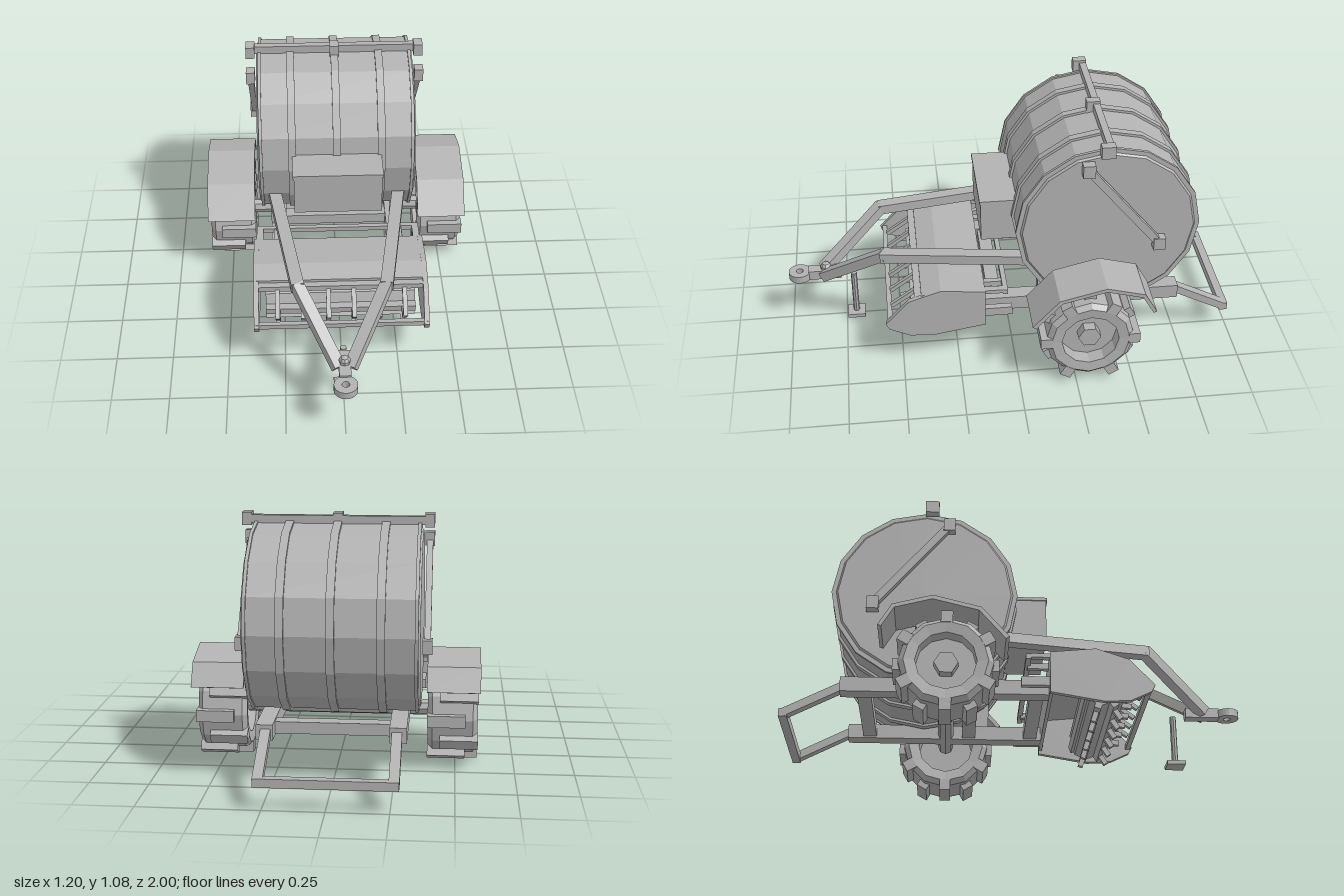
import * as THREE from 'three';

const grey = new THREE.MeshStandardMaterial({ color: 0xb2b2b2, flatShading: true, side: THREE.DoubleSide });
grey.name = 'plain grey';

export function createModel() {
  const root = new THREE.Group();
  root.name = 'roundBaler';

  const add = (name, geo, x = 0, y = 0, z = 0, parent = root) => {
    const m = new THREE.Mesh(geo, grey);
    m.name = name;
    m.position.set(x, y, z);
    parent.add(m);
    return m;
  };
  const box = (name, w, h, d, x, y, z, parent) => add(name, new THREE.BoxGeometry(w, h, d), x, y, z, parent);
  // Cylinder lying along x
  const roll = (name, r, len, sides, x, y, z, parent, r2 = r) =>
    add(name, new THREE.CylinderGeometry(r, r2, len, sides).rotateZ(Math.PI / 2), x, y, z, parent);
  // Rectangular bar between two points
  const beam = (name, a, b, w, h) => {
    const p = new THREE.Vector3(...a), q = new THREE.Vector3(...b);
    const m = box(name, w, h, p.distanceTo(q), 0, 0, 0);
    m.position.copy(p).add(q).multiplyScalar(0.5);
    m.lookAt(q);
    return m;
  };
  // Side profile given as [z, y] points, extruded along x
  const profile = (name, pts, width, x) => {
    const shape = new THREE.Shape(pts.map(([z, y]) => new THREE.Vector2(-z, y)));
    const geo = new THREE.ExtrudeGeometry(shape, { depth: width, bevelEnabled: false });
    geo.translate(0, 0, -width / 2).rotateY(Math.PI / 2);
    return add(name, geo, x, 0, 0);
  };

  // Bale chamber with chamfered ends and raised hoops
  const DY = 0.645, DZ = -0.405;
  const drum = [[0, -0.355], [0.372, -0.355], [0.392, -0.335], [0.392, 0.335], [0.372, 0.355], [0, 0.355]];
  add('baleChamber', new THREE.LatheGeometry(drum.map(p => new THREE.Vector2(...p)), 16).rotateZ(Math.PI / 2), 0, DY, DZ);
  for (const x of [-0.2, 0, 0.2]) roll('chamberHoop', 0.403, 0.034, 16, x, DY, DZ);
  for (const x of [-0.34, 0.34]) roll('chamberRim', 0.4, 0.014, 16, x, DY, DZ);

  // Bar over the chamber
  box('topBar', 0.76, 0.035, 0.03, 0, 1.052, -0.395);
  for (const x of [-0.38, 0, 0.38]) box('topBarBlock', 0.04, 0.055, 0.06, x, 1.053, -0.382);

  // Twine box
  box('twineBox', 0.39, 0.19, 0.19, 0, 0.61, 0.035);
  box('twineBoxLid', 0.4, 0.014, 0.2, 0, 0.71, 0.035);

  for (const s of [-1, 1]) {
    // Tailgate cylinder
    const hi = [s * 0.38, 0.965, -0.305], lo = [s * 0.38, 0.575, -0.625];
    beam('tailgateRam', hi, lo, 0.026, 0.034);
    for (const p of [hi, lo]) box('ramMount', 0.04, 0.058, 0.052, ...p);

    // Drawbar arm
    const bend = [s * 0.188, 0.46, 0.575];
    beam('drawbarArm', [s * 0.295, 0.467, -0.14], bend, 0.055, 0.045);
    beam('drawbarArm', [s * 0.192, 0.466, 0.56], [s * 0.025, 0.25, 0.84], 0.05, 0.045);

    // Chassis rail and rear frame leg
    box('chassisRail', 0.07, 0.065, 0.88, s * 0.27, 0.235, -0.31);
    beam('rearFrameLeg', [s * 0.265, 0.235, -0.74], [s * 0.265, 0.11, -0.98], 0.042, 0.035);
    box('chassisPost', 0.05, 0.26, 0.06, s * 0.28, 0.36, -0.14);

    // Fender
    profile('fender', [[-0.05, 0.33], [-0.165, 0.46], [-0.365, 0.51], [-0.53, 0.465], [-0.585, 0.37],
      [-0.57, 0.365], [-0.52, 0.45], [-0.365, 0.492], [-0.175, 0.445], [-0.065, 0.32]], 0.22, s * 0.49);

    // Wheel with alternating lugs
    const wheel = new THREE.Group();
    wheel.name = 'wheel';
    wheel.position.set(s * 0.487, 0.225, -0.305);
    root.add(wheel);
    const tyre = [[0.125, -0.1], [0.172, -0.105], [0.194, -0.085], [0.194, 0.085], [0.172, 0.105], [0.125, 0.1], [0.125, -0.1]];
    add('tyre', new THREE.LatheGeometry(tyre.map(p => new THREE.Vector2(...p)), 12).rotateZ(Math.PI / 2), 0, 0, 0, wheel);
    roll('rimDisc', 0.128, 0.03, 12, s * 0.02, 0, 0, wheel);
    roll('hub', 0.05, 0.06, 6, s * 0.05, 0, 0, wheel);
    for (let i = 0; i < 12; i++) {
      const a = i * Math.PI / 6;
      const lug = box('lug', 0.16, 0.05, 0.05, (i % 2 ? 1 : -1) * 0.027, Math.cos(a) * 0.192, Math.sin(a) * 0.192, wheel);
      lug.rotation.x = a;
    }

    // Pickup side plate and lift arm
    profile('pickupSide', [[0.57, 0.225], [0.465, 0.34], [0.325, 0.387], [0.13, 0.367], [0.13, 0.185],
      [0.355, 0.147], [0.465, 0.152], [0.555, 0.195]], 0.022, s * 0.37);
    box('pickupArm', 0.03, 0.04, 0.14, s * 0.35, 0.24, 0.08);
    box('pickupHook', 0.03, 0.018, 0.1, s * 0.355, 0.355, 0.1);
    beam('rearPickupBrace', [s * 0.28, 0.34, 0.04], [s * 0.28, 0.34, 0.14], 0.025, 0.025);
  }

  // Cross members
  roll('axle', 0.035, 0.8, 8, 0, 0.225, -0.305);
  for (const z of [0.08, -0.2, -0.65]) box('crossMember', 0.5, 0.05, 0.06, 0, 0.235, z);
  box('rearFrameBar', 0.57, 0.036, 0.036, 0, 0.11, -0.98);
  box('pickupRearBar', 0.74, 0.022, 0.022, 0, 0.35, 0.04);

  // Pickup hood, reel, crop bars and tines
  profile('pickupHood', [[0.41, 0.36], [0.325, 0.385], [0.13, 0.365], [0.13, 0.2], [0.145, 0.2],
    [0.145, 0.35], [0.325, 0.368], [0.41, 0.343]], 0.74, 0);
  box('pickupFrontBar', 0.75, 0.022, 0.022, 0, 0.225, 0.55);
  box('pickupUpperBar', 0.72, 0.025, 0.03, 0, 0.335, 0.425);
  roll('pickupReel', 0.075, 0.66, 8, 0, 0.225, 0.35);
  for (const a of [0.1, 1.0, 1.9, 2.8, 3.7, 4.6]) {
    const c = Math.cos(a), n = Math.sin(a);
    const bar = box('tineBar', 0.66, 0.03, 0.035, 0, 0.225 - n * 0.075, 0.36 + c * 0.075);
    bar.rotation.x = a;
    if (a > 2.5) continue;
    for (let i = 0; i < 6; i++) {
      const x = -0.277 + i * 0.111;
      beam('tine', [x, 0.225 - n * 0.07, 0.36 + c * 0.07], [x, 0.225 - n * 0.138, 0.36 + c * 0.138], 0.02, 0.022);
    }
  }
  for (let i = 0; i < 6; i++) {
    const x = -0.277 + i * 0.111;
    beam('cropGuard', [x, 0.335, 0.42], [x, 0.25, 0.54], 0.02, 0.018);
  }

  // Hitch with eye
  box('hitchBar', 0.05, 0.045, 0.15, 0, 0.25, 0.835);
  add('hitchCap', new THREE.SphereGeometry(0.026, 8, 5), 0, 0.278, 0.83);
  const eye = new THREE.Shape().absarc(0, 0, 0.05, 0, Math.PI * 2);
  eye.holes.push(new THREE.Path().absarc(0, 0, 0.016, 0, Math.PI * 2, true));
  const eyeGeo = new THREE.ExtrudeGeometry(eye, { depth: 0.034, bevelEnabled: false, curveSegments: 12 });
  add('hitchEye', eyeGeo.rotateX(-Math.PI / 2), 0, 0.23, 0.95);

  // Parking stand
  add('standPost', new THREE.CylinderGeometry(0.014, 0.014, 0.22, 8), 0, 0.125, 0.705);
  box('standFoot', 0.08, 0.018, 0.08, 0, 0.009, 0.705);

  return root;
}
